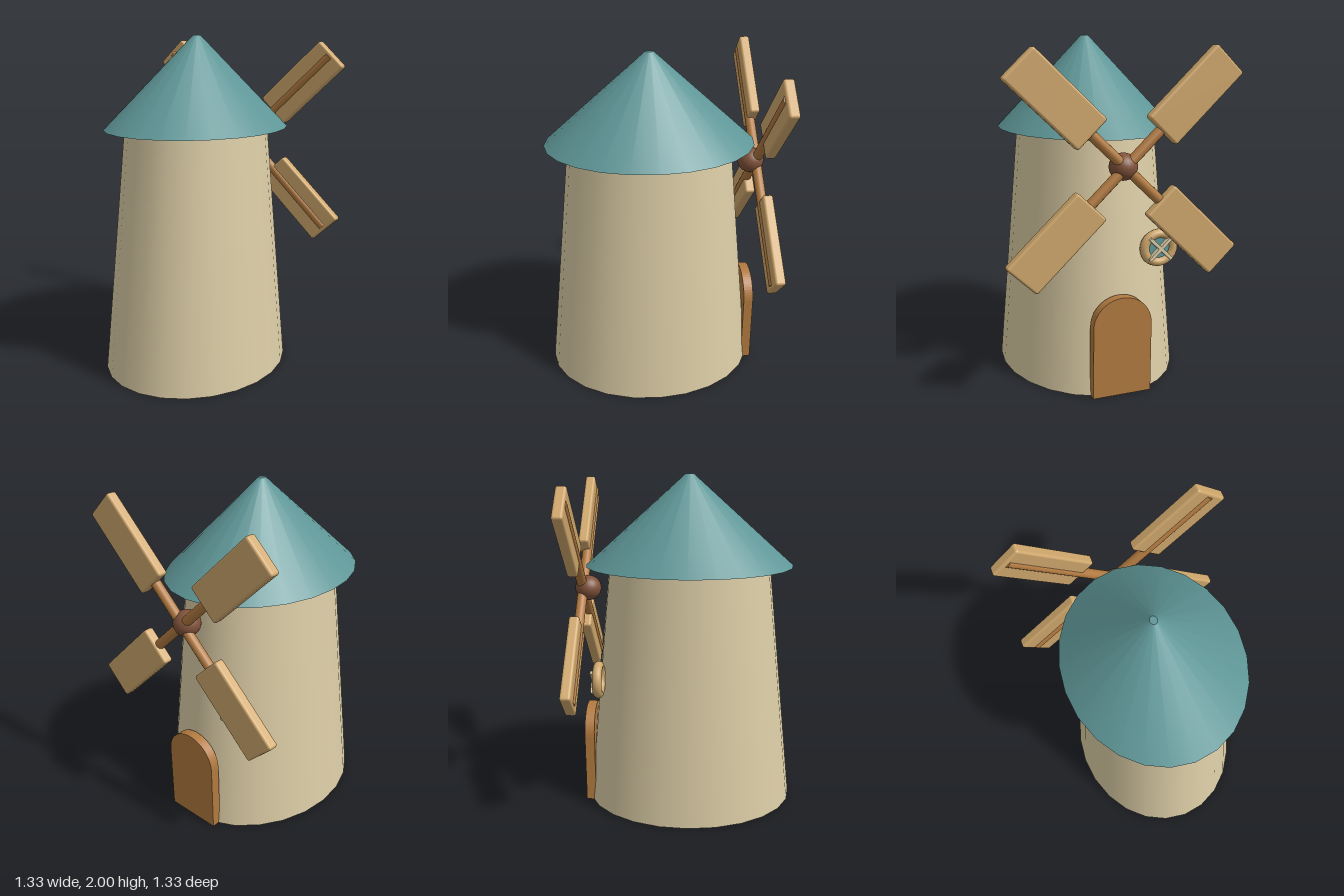
import * as THREE from 'three';
import { RoundedBoxGeometry } from 'three/addons/geometries/RoundedBoxGeometry.js';

const mat = (name, color) => {
  const m = new THREE.MeshStandardMaterial({ color });
  m.name = name;
  return m;
};

export function createModel() {
  const plaster = mat('cream plaster', 0xdccdA6);
  const teal = mat('teal roof', 0x5f9697);
  const paleWood = mat('pale wood', 0xcfa76c);
  const wood = mat('mid wood', 0xb27a40);
  const darkWood = mat('dark wood', 0x80523a);

  const model = new THREE.Group();
  model.name = 'windmill';
  const add = (parent, name, geometry, material, x = 0, y = 0, z = 0) => {
    const mesh = new THREE.Mesh(geometry, material);
    mesh.name = name;
    mesh.position.set(x, y, z);
    parent.add(mesh);
    return mesh;
  };

  // Oval tapered tower and conical roof, deeper than wide
  const centreZ = 0.025;
  const tower = add(model, 'tower', new THREE.CylinderGeometry(0.403, 0.53, 1.468, 24), plaster, 0, 0.734, centreZ);
  const roof = add(model, 'roof', new THREE.CylinderGeometry(0.02, 0.517, 0.535, 24), teal, 0, 1.7325, centreZ);
  tower.scale.z = roof.scale.z = 1.2;

  // Arched door
  const w = 0.175;
  const arch = new THREE.Shape();
  arch.moveTo(-w, 0);
  arch.lineTo(w, 0);
  arch.lineTo(w, 0.418);
  arch.absellipse(0, 0.418, w, 0.167, 0, Math.PI, false);
  arch.closePath();
  add(model, 'door', new THREE.ExtrudeGeometry(arch, { depth: 0.058, bevelEnabled: false, curveSegments: 16 }),
    wood, 0, 0, -0.615);

  // Round window with crossed bars
  const roundWindow = new THREE.Group();
  roundWindow.name = 'roundWindow';
  roundWindow.position.set(-0.26, 0.82, -0.505);
  roundWindow.scale.y = 0.955;
  model.add(roundWindow);
  add(roundWindow, 'windowFrame', new THREE.TorusGeometry(0.088, 0.028, 12, 28), paleWood);
  const pane = add(roundWindow, 'windowPane', new THREE.CylinderGeometry(0.088, 0.088, 0.016, 28), teal);
  pane.rotation.x = Math.PI / 2;
  for (const side of [-1, 1]) {
    const bar = add(roundWindow, 'windowBar', new THREE.BoxGeometry(0.19, 0.02, 0.03), plaster, 0, 0, -0.026);
    bar.rotation.z = side * Math.PI / 4;
  }

  // Rotor: hub and four diagonal sails
  const rotor = new THREE.Group();
  rotor.name = 'rotor';
  rotor.position.set(0, 1.322, -0.59);
  rotor.scale.y = 0.955;
  model.add(rotor);
  add(rotor, 'hub', new THREE.SphereGeometry(0.079, 24, 16), darkWood);
  for (let i = 0; i < 4; i++) {
    const sail = new THREE.Group();
    sail.name = 'sail';
    sail.rotation.z = Math.PI / 4 + i * Math.PI / 2;
    rotor.add(sail);
    add(sail, 'spar', new THREE.CylinderGeometry(0.03, 0.03, 0.81, 16), wood, 0, 0.405, -0.032);
    add(sail, 'sailBoard', new RoundedBoxGeometry(0.232, 0.555, 0.062, 3, 0.015), paleWood, 0, 0.556, -0.043);
  }
  return model;
}
